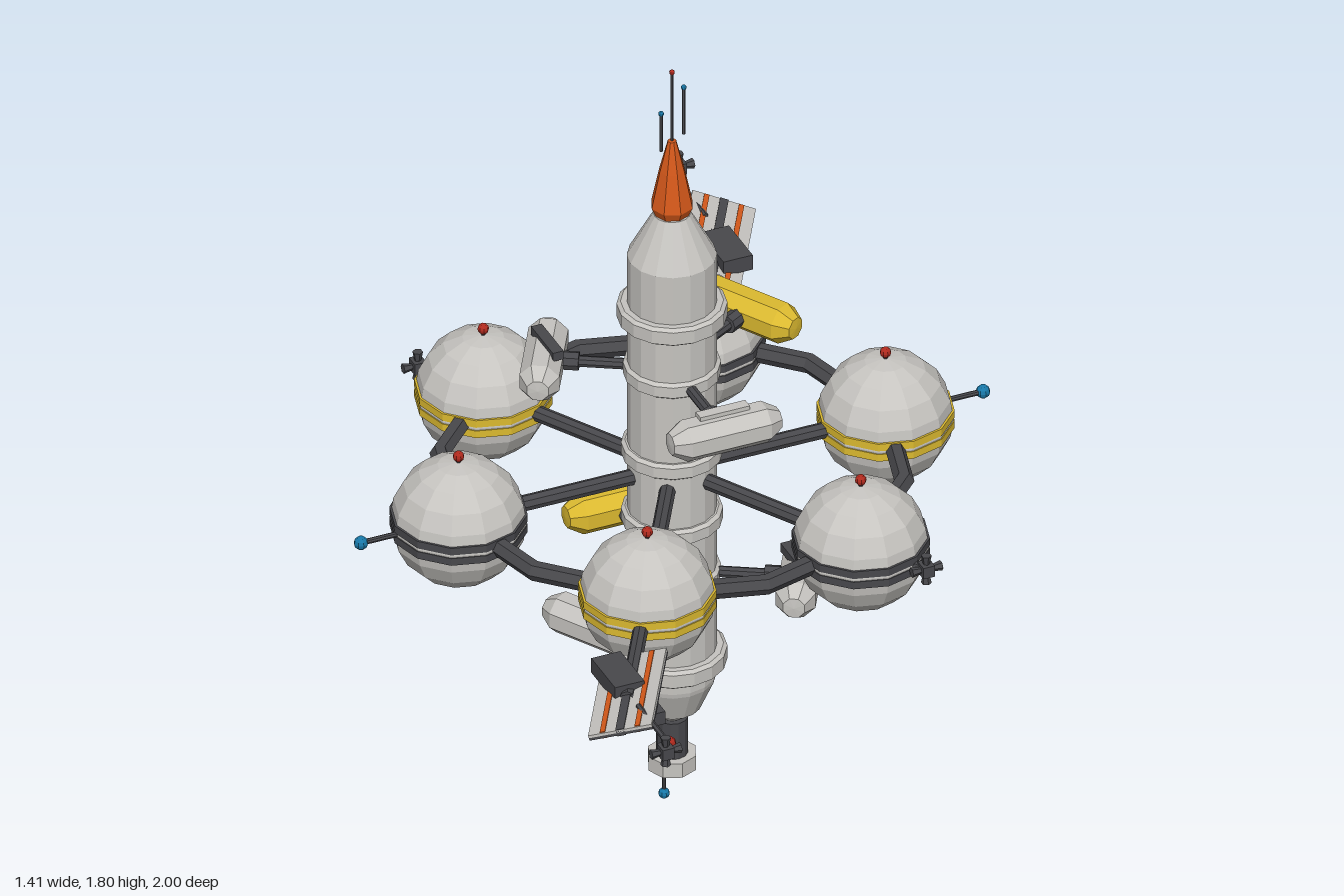
import * as THREE from 'three';

const mat = (name, color) => {
  const m = new THREE.MeshStandardMaterial({ color, flatShading: true });
  m.name = name;
  return m;
};

export function createModel() {
  const hull = mat('hull grey', 0xc6c4c0), dark = mat('dark metal', 0x48484c), orange = mat('orange', 0xd4581a);
  const yellow = mat('yellow', 0xdcba30), red = mat('red', 0xb02a1e), blue = mat('blue', 0x1878a8);
  const root = new THREE.Group();
  root.name = 'spaceStation';
  const hubY = 0.835;

  const add = (parent, name, geo, material, x = 0, y = 0, z = 0) => {
    const m = new THREE.Mesh(geo, material);
    m.name = name;
    m.position.set(x, y, z);
    parent.add(m);
    return m;
  };
  const group = (parent, name, y = 0, angle = 0) => {
    const g = new THREE.Group();
    g.name = name;
    g.position.y = y;
    g.rotation.y = angle;
    parent.add(g);
    return g;
  };
  const lathe = (pts, n) => new THREE.LatheGeometry(pts.map(p => new THREE.Vector2(...p)), n);
  const box = (x, y, z) => new THREE.BoxGeometry(x, y, z);
  const cyl = (r, h, n = 8, r2 = r) => new THREE.CylinderGeometry(r, r2, h, n);
  const ball = r => new THREE.SphereGeometry(r, 8, 6);
  // Rod along local x from a to b
  const rodX = (parent, name, r, a, b, material = dark) => {
    add(parent, name, cyl(r, b - a), material, (a + b) / 2).rotation.z = Math.PI / 2;
  };

  // Central tower
  add(root, 'tower', lathe([[0, 0.225], [0.02, 0.23], [0.06, 0.26], [0.09, 0.33], [0.092, 0.34], [0.092, 1.355],
    [0.038, 1.455], [0, 1.46]], 16), hull);
  for (const [y, r, h] of [[1.22, 0.113, 0.03], [0.885, 0.104, 0.025], [0.725, 0.104, 0.025], [0.585, 0.1, 0.025],
    [1.08, 0.1, 0.025], [0.385, 0.113, 0.03]]) {
    const k = h / 2;
    add(root, 'towerCollar', lathe([[0.08, -k - 0.006], [r - 0.008, -k - 0.006], [r, -k], [r, k],
      [r - 0.008, k + 0.006], [0.08, k + 0.006]], 16), hull, 0, y);
  }

  // Nose and mast antennas
  add(root, 'nose', lathe([[0, 1.452], [0.036, 1.455], [0.045, 1.475], [0.027, 1.56], [0.009, 1.63], [0, 1.632]], 8), orange);
  for (const [x, z, top, m] of [[0, 0, 1.8, red], [-0.033, 0.02, 1.72, blue], [0.035, -0.02, 1.742, blue]]) {
    add(root, 'mastRod', cyl(0.0035, top - 1.625, 6), dark, x, (top + 1.625) / 2, z);
    add(root, 'mastTip', ball(0.006), m, x, top - 0.004, z);
  }

  // Tail engine and probe
  add(root, 'engineNeck', cyl(0.033, 0.09, 12), dark, 0, 0.185);
  add(root, 'engineBell', cyl(0.052, 0.034, 8), hull, 0, 0.127);
  add(root, 'engineGlow', cyl(0.038, 0.008, 8), blue, 0, 0.108);
  add(root, 'tailRod', cyl(0.004, 0.13, 6), dark, 0, 0.08, -0.04);
  add(root, 'tailTip', ball(0.012), blue, 0, 0.018, -0.04);

  // Thruster cluster made of crossed blocks
  const thruster = (parent, x, y, z) => {
    const g = group(parent, 'thrusterCluster');
    g.position.set(x, y, z);
    add(g, 'thrusterCore', box(0.026, 0.026, 0.03), dark);
    for (const s of [-1, 1]) {
      add(g, 'nozzleSide', cyl(0.007, 0.02, 6, 0.011), dark, s * 0.023).rotation.z = s * Math.PI / 2;
      add(g, 'nozzleUpright', cyl(0.007, 0.02, 6, 0.011), dark, 0, s * 0.023).rotation.z = s > 0 ? Math.PI : 0;
    }
  };

  // Habitat ring
  add(root, 'ring', new THREE.TorusGeometry(0.475, 0.021, 6, 12), dark, 0, hubY).rotation.x = Math.PI / 2;

  // Spokes, spherical habitats and their outer equipment
  for (let i = 0; i < 6; i++) {
    const a = i * Math.PI / 3;
    const arm = group(root, 'habitatArm', hubY, a);
    rodX(arm, 'spoke', 0.017, 0.05, 0.37);
    add(arm, 'habitat', new THREE.SphereGeometry(0.14, 12, 10), hull, 0.475);
    for (const s of [-1, 1])
      add(arm, 'habitatBand', new THREE.CylinderGeometry(0.1415, 0.1415, 0.017, 12, 1), i % 2 ? dark : yellow, 0.475, s * 0.0125);
    add(arm, 'habitatMast', cyl(0.005, 0.03, 6), dark, 0.475, 0.145);
    add(arm, 'habitatBeacon', ball(0.012), red, 0.475, 0.153);

    if (i % 3 === 0) {
      rodX(arm, 'sideRod', 0.006, 0.6, 0.69);
      add(arm, 'sideTip', ball(0.015), blue, 0.692);
    } else if (i % 3 === 2) {
      rodX(arm, 'thrusterMount', 0.01, 0.6, 0.635);
      const g = group(arm, 'thrusterFrame', 0, -a + (i === 5 ? 0 : Math.PI));
      g.position.x = 0.64;
      thruster(g, 0, 0, 0);
    } else {
      // Tilted solar panel, striped on both sides
      rodX(arm, 'panelBoom', 0.016, 0.6, 0.86);
      const panel = group(arm, 'solarPanel');
      panel.position.x = 0.845;
      panel.rotation.x = 0.28;
      add(panel, 'panelTop', box(0.285, 0.006, 0.135), hull, 0, 0.003);
      add(panel, 'panelBack', box(0.285, 0.006, 0.135), dark, 0, -0.003);
      for (const s of [-1, 1]) {
        add(panel, 'panelStripe', box(0.28, 0.016, 0.011), orange, 0, 0, s * 0.037);
      }
      add(panel, 'panelSpine', box(0.285, 0.016, 0.018), dark);

      // Straight boom carrying a beacon and thrusters
      const boom = group(root, 'beaconBoom', hubY, i === 1 ? 0 : Math.PI);
      add(boom, 'boomHousing', box(0.065, 0.035, 0.12), dark, 0.42, 0.008, -0.675);
      add(boom, 'boomBlock', box(0.04, 0.03, 0.12), dark, 0.405, -0.005, -0.775);
      add(boom, 'boomRod', cyl(0.006, 0.16, 6), dark, 0.43, 0.015, -0.88).rotation.x = Math.PI / 2;
      add(boom, 'boomBeacon', ball(0.015), red, 0.43, 0.017, -0.955);
      thruster(boom, 0.45, 0.02, -0.983);
    }
  }

  // Docked capsule pods: three above the ring and three below
  const podProfile = [[0, -0.122], [0.024, -0.12], [0.044, -0.088], [0.044, 0.088], [0.024, 0.12], [0, 0.122]];
  for (const [y, deg, m] of [[1.08, -90, hull], [1.08, 150, hull], [1.08, 30, yellow],
    [0.588, 90, yellow], [0.588, -30, hull], [0.588, 210, hull]]) {
    const a = deg * Math.PI / 180;
    const dock = group(root, 'podDock', y, a);
    rodX(dock, 'podArm', 0.012, 0.05, 0.24);
    rodX(dock, 'podCoupling', 0.02, 0.19, 0.225);
    const pod = add(dock, 'pod', lathe(podProfile, 8), m, 0.262);
    pod.rotation.set(Math.PI / 2, Math.PI / 8, 0);
    if (m === hull) {
      const rail = group(dock, 'podRailFrame', 0.04, deg === -90 ? 0 : -a);
      rail.position.x = 0.255;
      add(rail, 'podRail', box(0.024, 0.02, 0.11), deg === -90 ? hull : dark);
    }
  }
  return root;
}
